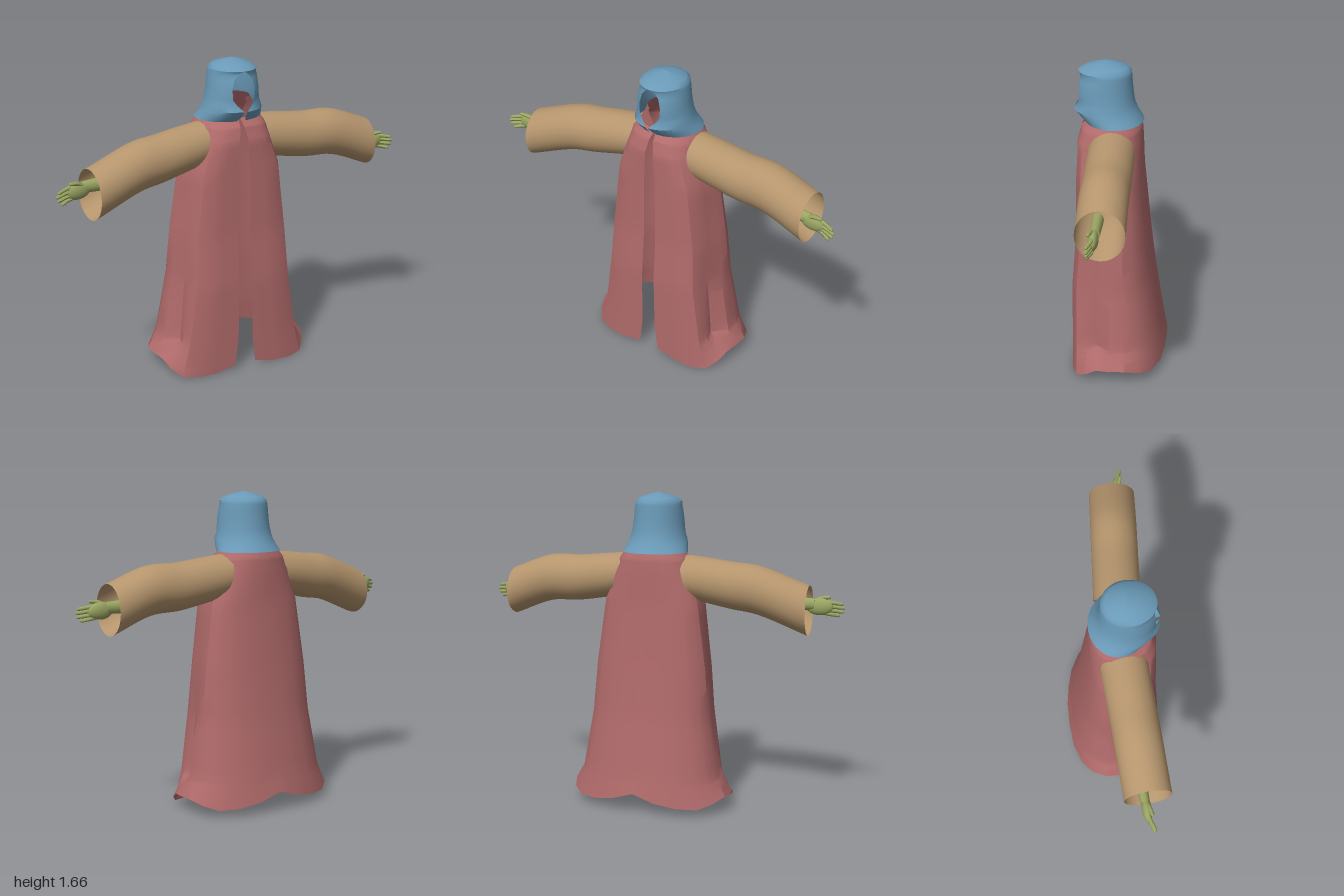
import * as THREE from 'three';
import { toCreasedNormals } from 'three/addons/utils/BufferGeometryUtils.js';

const cloth = (color) => new THREE.MeshStandardMaterial({ color, side: THREE.DoubleSide });
const V = (x, y, z) => new THREE.Vector3(x, y, z);

// Skin a list of rows of points into one surface, leaving out quads that lie in a hole
function loft(rows, crease, inHole = () => false) {
  const n = rows[0].length, points = rows.flat(), index = [];
  for (let i = 0; i < rows.length - 1; i++) {
    for (let j = 0; j < n - 1; j++) {
      const a = i * n + j, b = a + 1, c = a + n, d = c + 1;
      if (![a, b, c, d].every((k) => inHole(points[k]))) index.push(a, c, b, b, c, d);
    }
  }
  const g = new THREE.BufferGeometry().setFromPoints(points);
  g.setIndex(index);
  return toCreasedNormals(g, crease);
}

function add(parent, name, geometry, material) {
  const m = new THREE.Mesh(geometry, material);
  m.name = name;
  parent.add(m);
  return m;
}

// Robe: open at the front, round shoulders, armholes, side folds and a flared wavy hem
function robeGeometry() {
  // y, half width, front z, back z, half gap, fold depth, roundness
  const levels = [
    [1.47, 0.1, 0.15, -0.03, 0.05, 0, 1],
    [1.37, 0.16, 0.155, -0.105, 0.005, 0, 1],
    [1.33, 0.19, 0.195, -0.12, 0.012, 0, 0.6],
    [1.26, 0.21, 0.215, -0.125, 0.025, 0, 0.3],
    [1.1, 0.265, 0.215, -0.13, 0.033, 0.01, 0],
    [0.75, 0.315, 0.22, -0.165, 0.037, 0.04, 0],
    [0.5, 0.335, 0.24, -0.195, 0.038, 0.06, 0],
    [0.18, 0.39, 0.24, -0.245, 0.042, 0.1, 0],
    [0.08, 0.44, 0.24, -0.265, 0.06, 0, 0],
  ];
  // hem height of each column, front to back
  const hem = [0.03, 0.005, 0.005, 0.01, 0.05, 0.085, 0.09, 0.095, 0.07, 0.045, 0.05, 0.07, 0.11];
  const keyRows = levels.map(([y, w, f, b, gap, fold, round], i) => {
    const last = i === levels.length - 1;
    const half = [
      [gap, f], [0.4 * w, f], [0.62 * w, 0.99 * f], [0.81 * w, 0.87 * f],
      [(0.92 - 0.7 * fold) * w, 0.64 * f], [(0.96 - 1.4 * fold) * w, 0.42 * f],
      [0.99 * w, 0.12 * f], [w, 0.2 * b], [0.92 * w, 0.5 * b],
      [0.77 * w, 0.72 * b], [0.54 * w, 0.89 * b], [0.27 * w, 0.97 * b], [0, b],
    ].map(([x, z], j) => {
      const a = Math.PI * j / 12, ez = (f + b) / 2 + (f - b) / 2 * Math.cos(a);
      const ex = Math.max(gap, w * Math.sin(a)) * (j < 12 ? 1 : 0);
      return V(x + (ex - x) * round, last ? hem[j] : y, z + (ez - z) * round);
    });
    const other = half.slice(0, -1).reverse().map((p) => V(-p.x, p.y, p.z));
    return [...half, ...other];
  });
  const rows = [keyRows[0]];
  for (let i = 1; i < keyRows.length; i++) {
    for (let s = 1; s <= 5; s++) {
      rows.push(keyRows[i].map((p, j) => keyRows[i - 1][j].clone().lerp(p, s / 5)));
    }
  }
  const armhole = (p) => Math.abs(p.x) > 0.1 && Math.hypot(p.y - 1.23, p.z - 0.035) < 0.11;
  return loft(rows, 0.5, armhole);
}

// Hood: a tapered cowl with a low peak and an oval face opening
function hoodGeometry() {
  // y, half width, front z, back z, half gap
  const levels = [
    [1.67, 0.001, 0.071, 0.069, 0],
    [1.657, 0.055, 0.125, 0.015, 0],
    [1.641, 0.1, 0.18, -0.04, 0],
    [1.622, 0.12, 0.212, -0.06, 0],
    [1.605, 0.122, 0.204, -0.062, 0.028],
    [1.58, 0.126, 0.211, -0.064, 0.05],
    [1.53, 0.131, 0.222, -0.068, 0.063],
    [1.48, 0.137, 0.221, -0.074, 0.06],
    [1.45, 0.143, 0.22, -0.08, 0.04],
    [1.42, 0.152, 0.234, -0.092, 0.008],
    [1.39, 0.163, 0.208, -0.107, 0.01],
    [1.36, 0.177, 0.178, -0.125, 0.025],
  ];
  const steps = 32;
  const rows = levels.map(([y, w, f, b, gap]) => {
    const start = Math.asin(gap / w), row = [];
    for (let j = 0; j <= steps; j++) {
      const a = start + (2 * Math.PI - 2 * start) * j / steps;
      row.push(V(w * Math.sin(a), y, (f + b) / 2 + (f - b) / 2 * Math.cos(a)));
    }
    return row;
  });
  return loft(rows, 0.8);
}

// Sleeve: oval rings along a drooping path, slanted at the shoulder; swing turns them with the arm
function sleeveGeometry(path, side, swing) {
  const curve = new THREE.CatmullRomCurve3(path.map((p) => V(...p)));
  const rows = [];
  for (let i = 0; i <= 20; i++) {
    const t = i / 20, c = curve.getPoint(t), row = [];
    const ry = 0.118 + 0.012 * t, slant = side * 0.3 * (1 - t) ** 4;
    for (let j = 0; j <= 32; j++) {
      const a = side * 2 * Math.PI * j / 32, d = 0.121 * Math.cos(a), h = ry * Math.sin(a);
      row.push(V(c.x + d * Math.sin(swing) + slant * h, c.y + h, c.z + d * Math.cos(swing)));
    }
    rows.push(row);
  }
  return loft(rows, 1);
}

// Finger: tapered tube with a rounded tip
function addFinger(parent, name, points, r, skin) {
  const curve = new THREE.CatmullRomCurve3(points);
  const g = new THREE.TubeGeometry(curve, 8, r, 8);
  const pos = g.attributes.position;
  for (let i = 0; i < pos.count; i++) {
    const t = Math.floor(i / 9) / 8, c = curve.getPointAt(t);
    const p = V(0, 0, 0).fromBufferAttribute(pos, i).sub(c).multiplyScalar(1 - 0.35 * t).add(c);
    pos.setXYZ(i, p.x, p.y, p.z);
  }
  g.computeVertexNormals();
  add(parent, name, g, skin);
  add(parent, name + 'Tip', new THREE.SphereGeometry(r * 0.65, 8, 6), skin)
    .position.copy(points[points.length - 1]);
}

// Hand: origin at the wrist, pointing outward along side * x, thumb up
function makeHand(side, skin) {
  const hand = new THREE.Group();
  const P = (x, y, z) => V(side * x, y, z);
  const arm = new THREE.CylinderGeometry(0.03, 0.037, 0.16, 16);
  arm.rotateZ(-side * Math.PI / 2);
  arm.scale(1, 1, 0.8);
  add(hand, 'forearm', arm, skin).position.copy(P(-0.05, 0.004, 0));
  const palm = add(hand, 'palm', new THREE.SphereGeometry(1, 20, 14), skin);
  palm.scale.set(0.07, 0.044, 0.025);
  palm.position.copy(P(0.055, -0.008, 0.004));
  for (let k = 0; k < 4; k++) {
    const y = 0.018 - 0.018 * k, tip = [0.164, 0.174, 0.168, 0.148][k];
    addFinger(hand, 'finger', [
      P(0.07, y, 0.004), P(0.115, y * 1.1 - 0.006, 0.01), P(tip, y * 1.1 - 0.014, 0.027),
    ], 0.0125, skin);
  }
  addFinger(hand, 'thumb', [P(0.02, 0.008, 0.006), P(0.06, 0.033, 0.016), P(0.1, 0.039, 0.024)], 0.014, skin);
  return hand;
}

export function createModel() {
  const model = new THREE.Group();
  const skin = new THREE.MeshStandardMaterial({ color: 0x9aa562 });
  const tan = cloth(0xb5956d);

  add(model, 'robe', robeGeometry(), cloth(0xb06a6a));
  add(model, 'hood', hoodGeometry(), cloth(0x6a9ab8));

  // Arms: the right one swings a little forward
  const leftPath = [[0.18, 1.233, 0.03], [0.3, 1.217, 0.03], [0.45, 1.198, 0.03],
    [0.62, 1.19, 0.03], [0.845, 1.11, 0.03]];
  const rightPath = [[-0.18, 1.233, 0.05], [-0.3, 1.215, 0.067], [-0.42, 1.195, 0.084],
    [-0.55, 1.177, 0.102], [-0.815, 1.08, 0.14]];
  add(model, 'leftSleeve', sleeveGeometry(leftPath, -1, 0), tan);
  add(model, 'rightSleeve', sleeveGeometry(rightPath, 1, 0.125), tan);

  const leftHand = makeHand(1, skin);
  leftHand.name = 'leftHand';
  leftHand.position.set(0.82, 1.115, 0.053);
  model.add(leftHand);

  const rightHand = makeHand(-1, skin);
  rightHand.name = 'rightHand';
  rightHand.position.set(-0.82, 1.115, 0.118);
  rightHand.rotation.y = 0.12;
  model.add(rightHand);
  return model;
}
